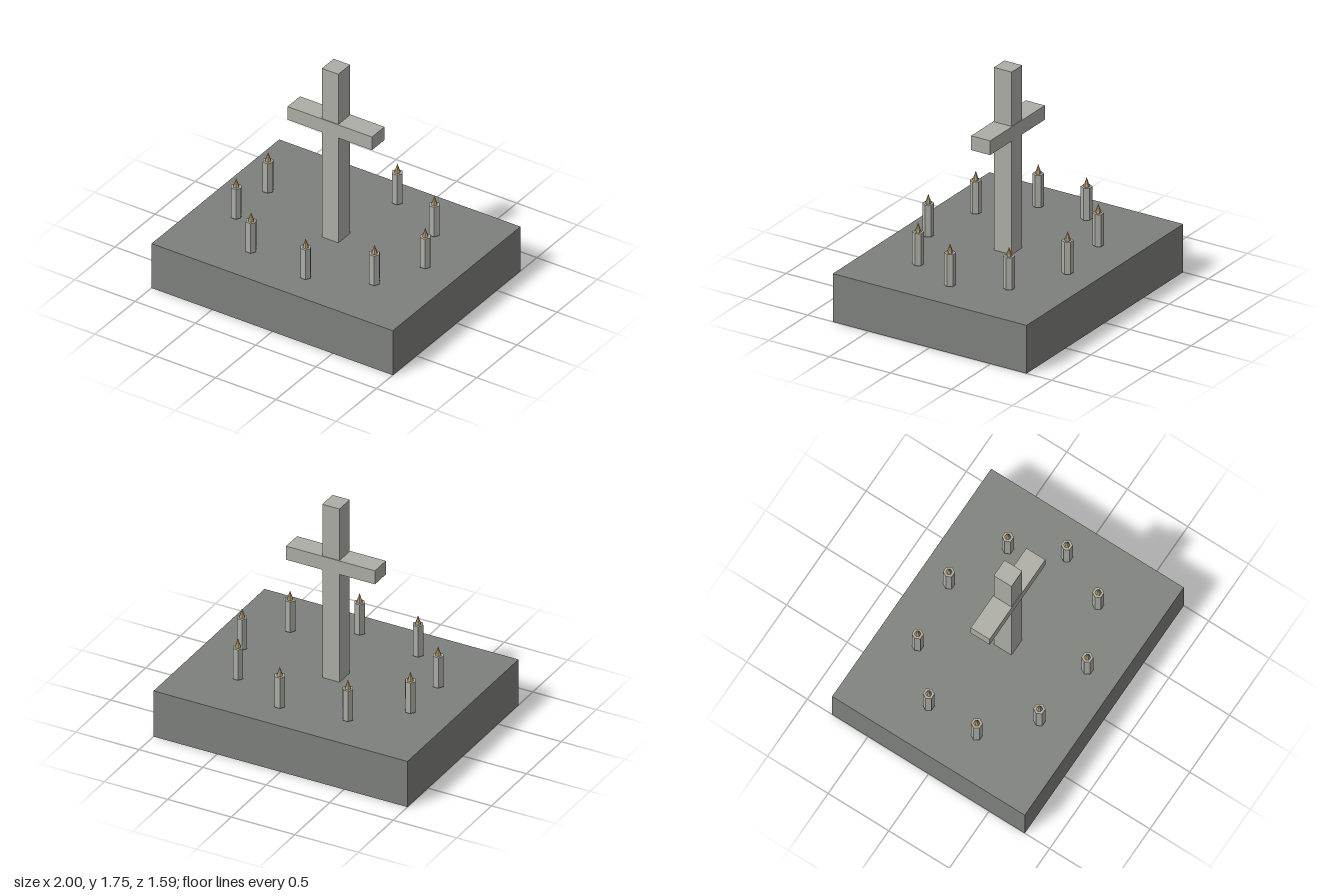
import * as THREE from 'three';

export function createModel() {
  const model = new THREE.Group();
  const mat = (name, color) => {
    const m = new THREE.MeshStandardMaterial({ color, flatShading: true });
    m.name = name;
    return m;
  };
  const darkStone = mat('dark stone', 0x7d807b);
  const paleStone = mat('pale stone', 0xadada6);
  const wax = mat('wax', 0xadaea6);
  const flameTan = mat('flame tan', 0xb89a68);

  const add = (parent, name, geometry, material, y) => {
    const mesh = new THREE.Mesh(geometry, material);
    mesh.name = name;
    mesh.position.y = y;
    parent.add(mesh);
    return mesh;
  };

  // Stone slab
  add(model, 'slab', new THREE.BoxGeometry(2, 0.365, 1.59), darkStone, 0.1825);

  // Cross: upright and slightly deeper crossbar
  const cross = new THREE.Group();
  cross.name = 'cross';
  add(cross, 'upright', new THREE.BoxGeometry(0.136, 1.385, 0.146), paleStone, 1.0575);
  add(cross, 'crossbar', new THREE.BoxGeometry(0.7, 0.108, 0.156), paleStone, 1.284);
  model.add(cross);

  // Ring of nine six-sided candles on an ellipse, corners pointing along x
  const waxGeometry = new THREE.CylinderGeometry(0.041, 0.041, 0.243, 6).rotateY(Math.PI / 2);
  const flameGeometry = new THREE.ConeGeometry(0.023, 0.07, 6).rotateY(Math.PI / 2);
  for (let i = 0; i < 9; i++) {
    const angle = (i / 9) * Math.PI * 2;
    const candle = new THREE.Group();
    candle.name = 'candle';
    candle.position.set(Math.cos(angle) * 0.74, 0, Math.sin(angle) * 0.58);
    add(candle, 'candleBody', waxGeometry, wax, 0.5);
    add(candle, 'flame', flameGeometry, flameTan, 0.656);
    model.add(candle);
  }
  return model;
}
